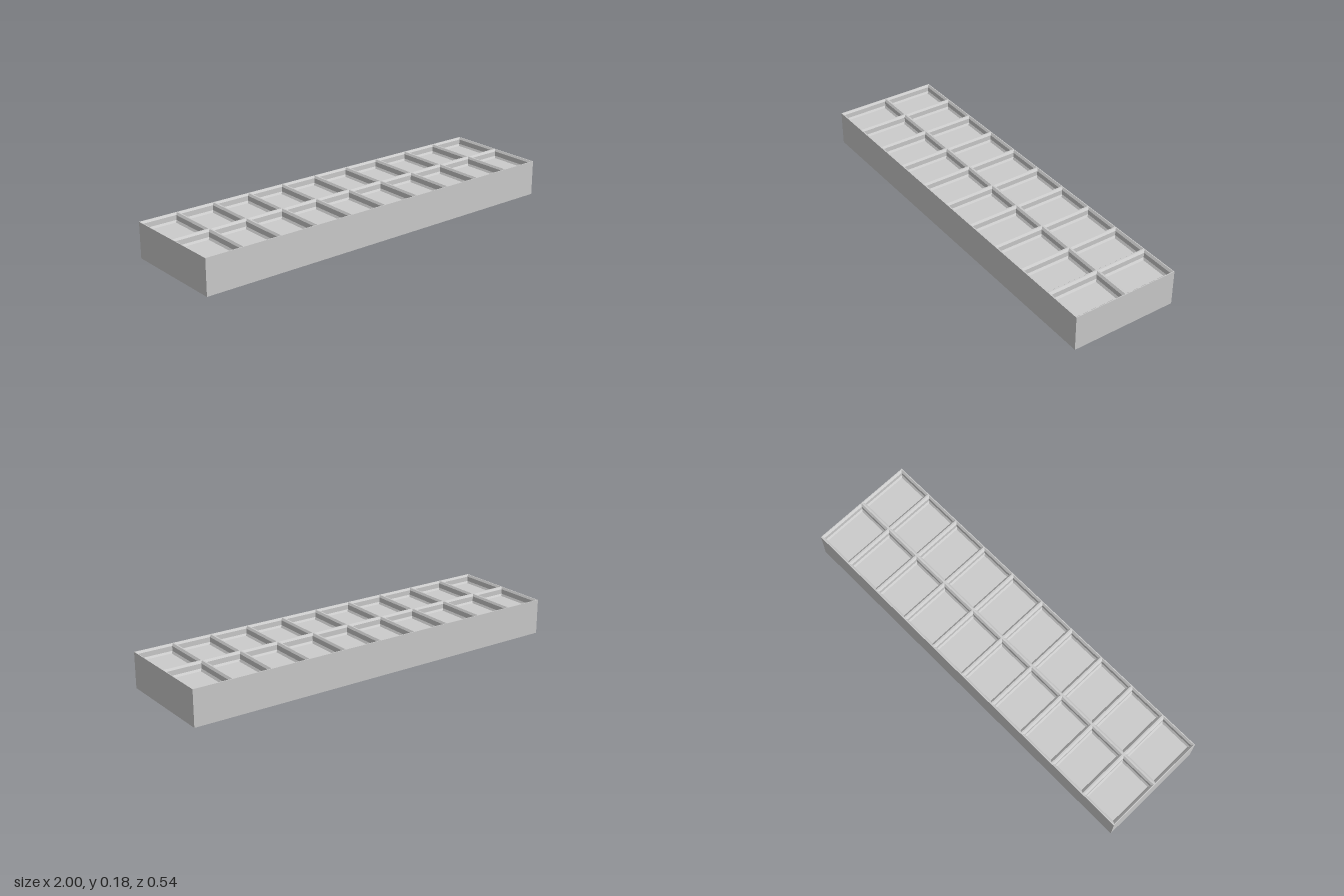
import * as THREE from 'three';

const LENGTH = 2, DEPTH = 0.54, HEIGHT = 0.178;
const COLUMNS = 10, ROWS = 2;

// Corners of a horizontal rectangle, counter-clockwise seen from above
function ring(width, depth, inset, y) {
  const x = width / 2 - inset, z = depth / 2 - inset;
  return [[-x, y, z], [x, y, z], [x, y, -z], [-x, y, -z]];
}

// Joins successive rectangles with flat walls, then adds one closing cap
function loft(rings, cap) {
  const points = [];
  const quad = (a, b, c, d) => points.push(...a, ...b, ...c, ...a, ...c, ...d);
  for (let r = 0; r < rings.length - 1; r++) {
    for (let i = 0; i < 4; i++) {
      const j = (i + 1) % 4;
      quad(rings[r][i], rings[r][j], rings[r + 1][j], rings[r + 1][i]);
    }
  }
  quad(...cap);
  const geometry = new THREE.BufferGeometry();
  geometry.setAttribute('position', new THREE.Float32BufferAttribute(points, 3));
  geometry.computeVertexNormals();
  return geometry;
}

export function createModel() {
  const group = new THREE.Group();
  group.name = 'compartmentTray';
  const material = new THREE.MeshStandardMaterial({ color: 0xcccccc, flatShading: true });

  // Outer walls and underside
  const base = ring(LENGTH, DEPTH, 0, 0);
  const body = new THREE.Mesh(
    loft([base, ring(LENGTH, DEPTH, 0, HEIGHT)], [...base].reverse()), material);
  body.name = 'trayBody';
  group.add(body);

  // One compartment: flat rim, chamfered lip, upright wall, sloped foot and floor
  const width = LENGTH / COLUMNS, depth = DEPTH / ROWS;
  const profile = [[0, 0], [0.004, 0], [0.013, 0.009], [0.013, 0.033], [0.021, 0.042]];
  const rings = profile.map(([inset, drop]) => ring(width, depth, inset, HEIGHT - drop));
  const cellGeometry = loft(rings, rings[rings.length - 1]);

  // Grid of compartments
  const compartments = new THREE.Group();
  compartments.name = 'compartments';
  for (let row = 0; row < ROWS; row++) {
    for (let column = 0; column < COLUMNS; column++) {
      const cell = new THREE.Mesh(cellGeometry, material);
      cell.name = `compartment${row * COLUMNS + column + 1}`;
      cell.position.set((column + 0.5) * width - LENGTH / 2, 0, (row + 0.5) * depth - DEPTH / 2);
      compartments.add(cell);
    }
  }
  group.add(compartments);
  return group;
}
